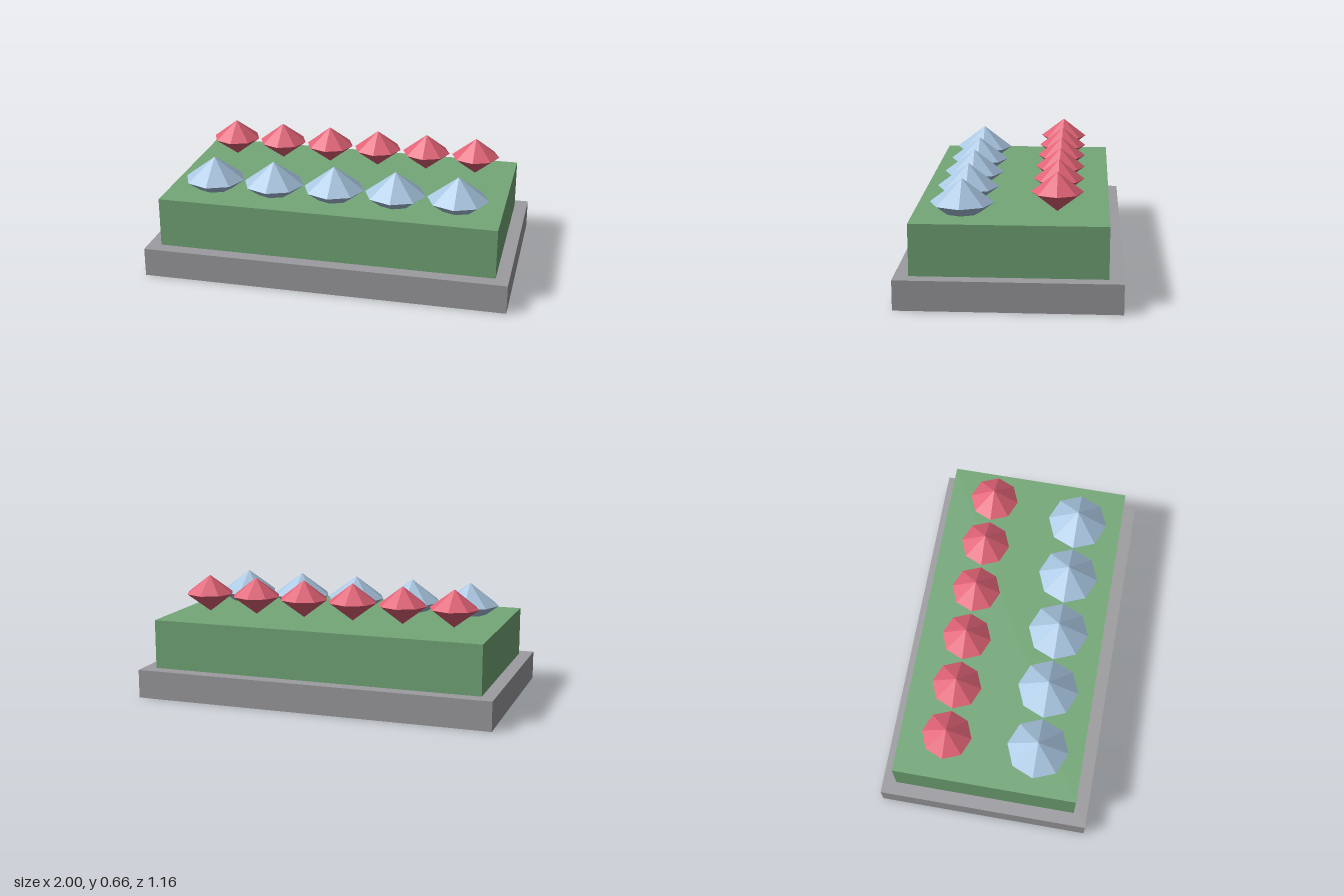
import * as THREE from 'three';

const material = (name, color) => {
  const m = new THREE.MeshStandardMaterial({ color });
  m.name = name;
  return m;
};

export function createModel() {
  const model = new THREE.Group();
  model.name = 'gemTray';

  const grey = material('grey', 0x9c9ca0);
  const green = material('green', 0x73a777);
  const red = material('red', 0xe06276);
  const blue = material('lightBlue', 0xa8c5e0);

  // Box resting with its underside at height y
  const slab = (name, mat, width, height, depth, y) => {
    const mesh = new THREE.Mesh(new THREE.BoxGeometry(width, height, depth), mat);
    mesh.name = name;
    mesh.position.y = y + height / 2;
    model.add(mesh);
  };

  // Row of eight-sided double pyramids with flat facets
  const gemRow = (name, mat, count, pitch, radius, halfHeight, y, z) => {
    const row = new THREE.Group();
    row.name = name + 'Row';
    const geometry = new THREE.SphereGeometry(radius, 8, 2).toNonIndexed();
    geometry.scale(1, halfHeight / radius, 1);
    geometry.computeVertexNormals();
    for (let i = 0; i < count; i++) {
      const gem = new THREE.Mesh(geometry, mat);
      gem.name = name;
      gem.position.set((i - (count - 1) / 2) * pitch, y, z);
      row.add(gem);
    }
    model.add(row);
  };

  // Plinth and raised block
  slab('base', grey, 2, 0.159, 1.158, 0);
  slab('block', green, 1.856, 0.273, 1.008, 0.159);

  // Large gems sunk into the block at the front, small ones floating behind
  gemRow('frontGem', blue, 5, 0.3415, 0.167, 0.125, 0.485, 0.254);
  gemRow('backGem', red, 6, 0.2845, 0.135, 0.103, 0.554, -0.237);

  return model;
}
